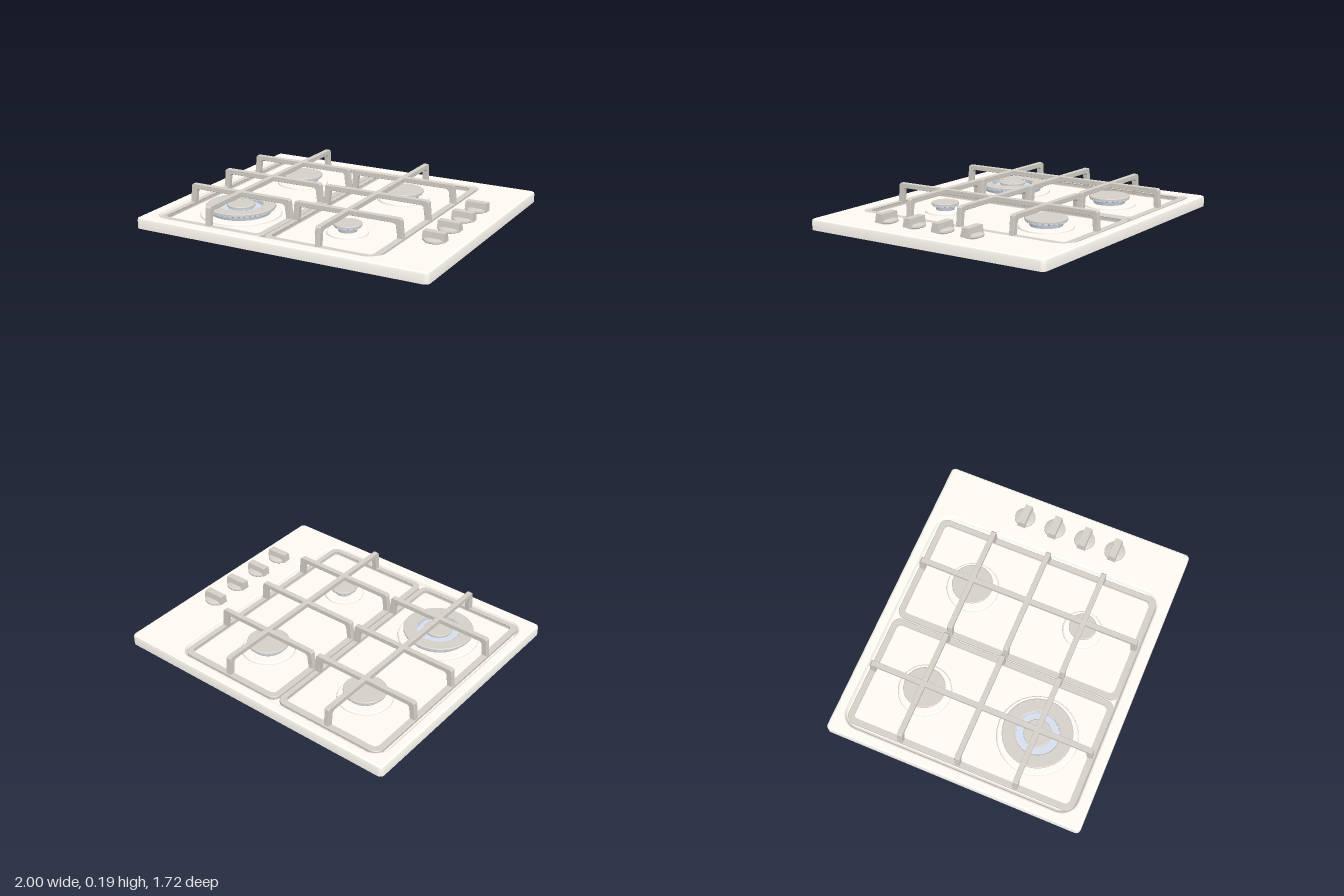
import * as THREE from 'three';
import { toCreasedNormals, mergeGeometries } from 'three/addons/utils/BufferGeometryUtils.js';

const steel = new THREE.MeshStandardMaterial({ color: 0xfdf9f2, side: THREE.DoubleSide });
const iron = new THREE.MeshStandardMaterial({ color: 0xd4d0c8, side: THREE.DoubleSide });
const alloy = new THREE.MeshStandardMaterial({ color: 0xd5deec });
const FLOOR = 0.035;

const BURNERS = [
  { name: 'rearLeftBurner', x: -0.524, z: -0.388, r: 0.135, ring: 0.174 },
  { name: 'rearRightBurner', x: 0.247, z: -0.388, r: 0.135, ring: 0.174 },
  { name: 'frontLargeBurner', x: -0.524, z: 0.388, r: 0.225, ring: 0.261, double: true },
  { name: 'frontSmallBurner', x: 0.247, z: 0.388, r: 0.09, ring: 0.131 },
];

function mesh(name, geometry, material, parent) {
  const m = new THREE.Mesh(geometry, material);
  m.name = name;
  parent.add(m);
  return m;
}

// Rounded rectangle outline, as [x, z] points running from +x towards +z
function roundRect(x0, x1, z0, z1, r, n = 7) {
  const centres = [[x1 - r, z1 - r], [x0 + r, z1 - r], [x0 + r, z0 + r], [x1 - r, z0 + r]];
  const pts = [];
  centres.forEach(([cx, cz], q) => {
    for (let i = 0; i <= n; i++) {
      const a = (q + i / n) * Math.PI / 2;
      pts.push([cx + r * Math.cos(a), cz + r * Math.sin(a)]);
    }
  });
  return pts;
}

// Skin between successive closed outlines
function loft(rings) {
  const n = rings[0].pts.length, pos = [], idx = [];
  rings.forEach(({ pts, y }) => pts.forEach(([x, z]) => pos.push(x, y, z)));
  for (let k = 0; k < rings.length - 1; k++) {
    for (let i = 0; i < n; i++) {
      const j = (i + 1) % n;
      const a = k * n + i, b = k * n + j, c = a + n, d = b + n;
      idx.push(a, c, b, b, c, d);
    }
  }
  const g = new THREE.BufferGeometry();
  g.setAttribute('position', new THREE.Float32BufferAttribute(pos, 3));
  g.setIndex(idx);
  return toCreasedNormals(g, 0.6);
}

function lathe(points, segments = 48) {
  const g = new THREE.LatheGeometry(points.map(([r, y]) => new THREE.Vector2(r, y)), segments);
  return toCreasedNormals(g, 0.5);
}

const toShape = (pts) => new THREE.Shape(pts.map(([x, z]) => new THREE.Vector2(x, -z)));

// Pressed sheet: skirt, flat rim, sunken well with a raised disc under each burner
function buildPlate(parent) {
  const outer = (i, y) => ({ pts: roundRect(-1 + i, 1 - i, -0.86 + i, 0.86 - i, 0.03 - i), y });
  const well = (i, y) => ({ pts: roundRect(-0.943 + i, 0.66 - i, -0.806 + i, 0.793 - i, 0.12 - i), y });
  const skirt = loft([outer(0, 0), outer(0, 0.055), outer(0.004, 0.065), outer(0.014, 0.07)]);
  const rim = loft([outer(0.014, 0.07), well(0, 0.07)]);
  const wall = loft([well(0, 0.07), well(0.008, 0.067), well(0.014, 0.058),
    well(0.018, 0.045), well(0.024, 0.038), well(0.032, FLOOR)]);
  mesh('topPlate', mergeGeometries([skirt, rim, wall]), steel, parent);

  const floor = toShape(well(0.032, 0).pts);
  BURNERS.forEach(({ x, z, ring }) => {
    const hole = new THREE.Path();
    hole.absarc(x, -z, ring, 0, Math.PI * 2, true);
    floor.holes.push(hole);
    const bump = lathe([[ring, FLOOR - 0.003], [ring, FLOOR], [ring - 0.003, FLOOR + 0.008],
      [ring - 0.01, FLOOR + 0.013], [0, FLOOR + 0.013]]);
    mesh('burnerSeat', bump, steel, parent).position.set(x, 0, z);
  });
  const g = new THREE.ShapeGeometry(floor, 24);
  g.rotateX(-Math.PI / 2);
  mesh('wellFloor', g, steel, parent).position.y = FLOOR;

  // Darker lining under the sheet, just outside the well
  mesh('rimLining', loft([outer(0.014, 0.066), well(-0.004, 0.066)]), iron, parent);
  mesh('floorLining', g, iron, parent).position.y = FLOOR - 0.003;
}

// Flame ring with a crown of teeth under a flat cap
function buildBurner({ name, x, z, r, double }, parent) {
  const group = new THREE.Group();
  group.name = name;
  group.position.set(x, 0, z);
  parent.add(group);
  const base = FLOOR + 0.014;

  const crown = (R, top) => {
    const parts = [];
    const count = Math.round(R * 170);
    for (let i = 0; i < count; i++) {
      const tooth = new THREE.BoxGeometry(0.014, 0.014, R * 4.2 / count);
      tooth.translate(R - 0.014, top - 0.018, 0);
      tooth.rotateY(i / count * Math.PI * 2);
      parts.push(tooth);
    }
    mesh('flameTeeth', mergeGeometries(parts), alloy, group);
  };
  const body = [[r - 0.032, base], [r - 0.026, 0.07], [r - 0.016, 0.08], [r - 0.016, 0.09]];

  if (double) {
    mesh('flameRing', lathe([...body, [0.135, 0.09], [0.135, 0.075], [0, 0.075]], 64), alloy, group);
    mesh('ringCap', lathe([[0.14, 0.08], [0.14, 0.088], [r, 0.088], [r, 0.096], [r - 0.005, 0.1],
      [0.145, 0.1], [0.14, 0.096], [0.14, 0.08]], 64), iron, group);
    crown(r, 0.1);
    mesh('innerFlameRing', lathe([[0.075, 0.07], [0.075, 0.094], [0, 0.094]]), alloy, group);
    crown(0.09, 0.104);
    mesh('innerCap', lathe([[0, 0.092], [0.09, 0.092], [0.09, 0.1], [0.085, 0.104], [0, 0.104]]), iron, group);
  } else {
    mesh('flameRing', lathe([...body, [0, 0.09]]), alloy, group);
    crown(r, 0.1);
    mesh('burnerCap', lathe([[0, 0.088], [r, 0.088], [r, 0.096], [r - 0.005, 0.1], [0, 0.1]]), iron, group);
  }
}

// Hoop of bar: two leaning legs joined by a straight top, centred on the bar's length
function hoop(length, lean) {
  const a = length / 2, t = 0.032, foot = 0.045, top = 0.185;
  const side = [[a, foot], [a - lean, top - 0.01], [a - lean - 0.01, top]];
  const inner = [[a - t - lean - 0.016, top - t], [a - t - lean - 0.003, top - t - 0.012], [a - t - 0.004, foot]];
  const flip = (pts) => pts.map(([x, y]) => [-x, y]);
  const outline = [...side, ...flip(side).reverse(), ...flip(inner).reverse(), ...inner];
  const shape = new THREE.Shape(outline.map(([x, y]) => new THREE.Vector2(x, y)));
  const g = new THREE.ExtrudeGeometry(shape, {
    depth: 0.03, bevelEnabled: true, bevelSize: 0.002, bevelThickness: 0.002, bevelOffset: -0.002, bevelSegments: 1,
  });
  return g.translate(0, 0, -0.015);
}

// Pan support: rounded base frame, three cross hoops and one long hoop
function buildGrate(name, x0, x1, parent) {
  const group = new THREE.Group();
  group.name = name;
  parent.add(group);
  const cx = (x0 + x1) / 2, t = 0.034;

  const frame = toShape(roundRect(x0, x1, -0.77, 0.77, 0.055));
  frame.holes.push(toShape(roundRect(x0 + t, x1 - t, -0.77 + t, 0.77 - t, 0.035)));
  const g = new THREE.ExtrudeGeometry(frame, {
    depth: 0.018, bevelEnabled: true, bevelSize: 0.004, bevelThickness: 0.004, bevelOffset: -0.004, bevelSegments: 1,
  });
  g.rotateX(-Math.PI / 2);
  mesh('baseFrame', toCreasedNormals(g, 0.5), iron, group).position.y = FLOOR + 0.005;

  for (const z of [-0.388, 0, 0.388]) {
    mesh('crossBar', hoop(x1 - x0, 0.013), iron, group).position.set(cx, 0, z);
  }
  const long = mesh('longBar', hoop(1.53, 0.01), iron, group);
  long.rotation.y = Math.PI / 2;
  long.position.set(cx, 0, 0);
}

// Control knob: stem, round skirt and a tapered grip
function buildKnob(z, parent) {
  const group = new THREE.Group();
  group.name = 'knob';
  group.position.set(0.827, 0, z);
  parent.add(group);
  mesh('knobStem', new THREE.CylinderGeometry(0.035, 0.035, 0.02, 24).translate(0, 0.08, 0), iron, group);
  mesh('knobSkirt', lathe([[0, 0.082], [0.066, 0.082], [0.07, 0.086], [0.069, 0.096], [0.05, 0.104], [0, 0.106]], 32), iron, group);
  const grip = new THREE.BoxGeometry(0.145, 0.056, 0.06);
  const p = grip.attributes.position;
  for (let i = 0; i < p.count; i++) {
    if (p.getY(i) > 0) p.setXYZ(i, p.getX(i) * 0.97, p.getY(i), p.getZ(i) * 0.78);
  }
  grip.computeVertexNormals();
  mesh('knobGrip', grip.translate(0, 0.113, 0), iron, group);
}

export function createModel() {
  const model = new THREE.Group();
  model.name = 'gasHob';
  buildPlate(model);
  BURNERS.forEach((b) => buildBurner(b, model));
  buildGrate('leftGrate', -0.905, -0.143, model);
  buildGrate('rightGrate', -0.133, 0.627, model);
  [-0.255, -0.04, 0.173, 0.388].forEach((z) => buildKnob(z, model));
  return model;
}
